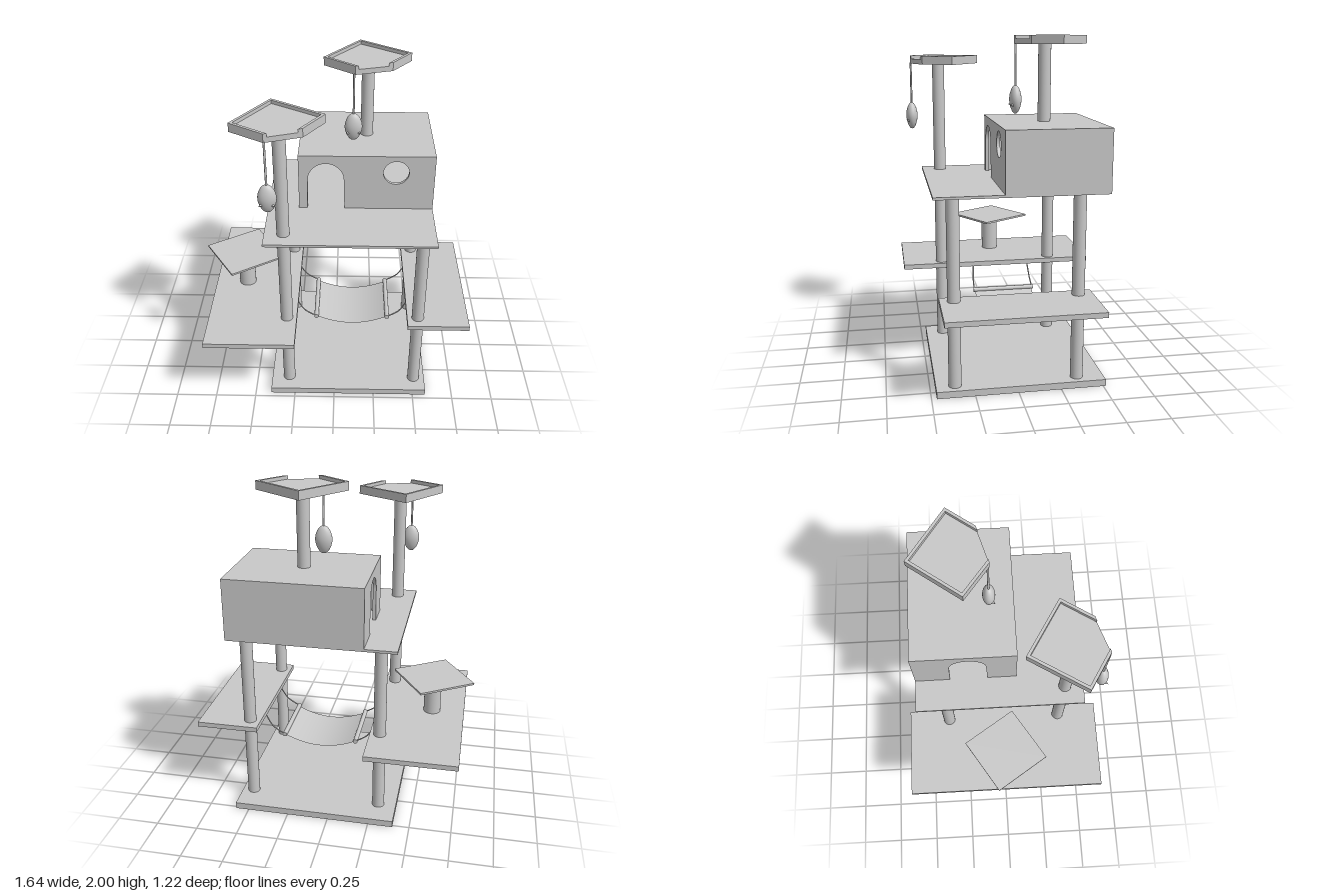
import * as THREE from 'three';

const plainGrey = new THREE.MeshStandardMaterial({ color: 0xc8c8c8 });
plainGrey.name = 'plainGrey';
const clothGrey = plainGrey.clone();
clothGrey.name = 'clothGrey';
clothGrey.side = THREE.DoubleSide;

export function createModel() {
  const model = new THREE.Group();
  model.name = 'catTree';

  const add = (name, geometry, parent = model, material = plainGrey) => {
    const mesh = new THREE.Mesh(geometry, material);
    mesh.name = name;
    parent.add(mesh);
    return mesh;
  };
  // Box given by its extents on each axis
  const box = (name, x0, x1, y0, y1, z0, z1, parent) => {
    const m = add(name, new THREE.BoxGeometry(x1 - x0, y1 - y0, z1 - z0), parent);
    m.position.set((x0 + x1) / 2, (y0 + y1) / 2, (z0 + z1) / 2);
    return m;
  };
  const post = (name, x, z, y0, y1, r = 0.037) => {
    const m = add(name, new THREE.CylinderGeometry(r, r, y1 - y0, 32));
    m.position.set(x, (y0 + y1) / 2, z);
    return m;
  };

  // Base, main platform and side shelves
  box('base', -0.4, 0.58, 0, 0.04, -0.515, 0.47);
  box('mainPlatform', -0.4, 0.58, 1.145, 1.16, -0.515, 0.47);
  box('wideShelf', -0.77, -0.23, 0.51, 0.54, -0.613, 0.608);
  box('narrowShelf', 0.445, 0.817, 0.52, 0.55, -0.443, 0.44);

  // Posts
  post('tallPost', -0.29, 0.36, 0.04, 1.83);
  post('frontPost', 0.51, 0.36, 0.04, 1.15);
  post('backPost', -0.29, -0.355, 0.04, 1.15);
  post('backPost', 0.51, -0.355, 0.04, 1.15);
  post('roofPost', 0.185, -0.215, 1.505, 1.955);
  post('stoolPost', -0.57, 0, 0.54, 0.772, 0.052);

  // Turned square seat on the wide shelf
  const stool = add('stoolSeat', new THREE.BoxGeometry(0.362, 0.012, 0.358));
  stool.position.set(-0.57, 0.774, 0);
  stool.rotation.y = 0.569;

  // Little house with arched doors and a round window
  const house = new THREE.Group();
  house.name = 'house';
  model.add(house);
  const T = 0.02, X0 = -0.215, X1 = 0.58, Z0 = -0.515, Z1 = 0.08, Y0 = 1.16, Y1 = 1.51;
  const archWall = (a, b, doorX) => {
    const s = new THREE.Shape();
    s.moveTo(a, 0);
    s.lineTo(doorX - 0.11, 0);
    s.lineTo(doorX - 0.105, 0.195);
    s.absarc(doorX, 0.195, 0.105, Math.PI, 0, true);
    s.lineTo(doorX + 0.11, 0);
    s.lineTo(b, 0);
    s.lineTo(b, Y1 - Y0);
    s.lineTo(a, Y1 - Y0);
    s.closePath();
    return s;
  };
  const extrude = (shape, depth) =>
    new THREE.ExtrudeGeometry(shape, { depth, bevelEnabled: false, curveSegments: 24 });

  const frontShape = archWall(X0, X1, -0.055);
  const windowHole = new THREE.Path();
  windowHole.absarc(0.355, 0.243, 0.075, 0, Math.PI * 2, true);
  frontShape.holes.push(windowHole);
  add('houseFront', extrude(frontShape, T), house).position.set(0, Y0, Z1 - T);

  const side = add('houseDoorSide', extrude(archWall(Z0 + T, Z1 - T, -0.2), T), house);
  side.rotation.y = -Math.PI / 2;
  side.position.set(X0 + T, Y0, 0);

  box('houseBack', X0, X1, Y0, Y1, Z0, Z0 + T, house);
  box('houseSide', X1 - T, X1, Y0, Y1, Z0 + T, Z1 - T, house);
  box('houseRoof', X0 + T, X1 - T, Y1 - T, Y1, Z0 + T, Z1 - T, house);

  // Five-sided perches: a floor with a rim on all but the front edge
  const perch = (points, bottom) => {
    const group = new THREE.Group();
    group.name = 'perch';
    model.add(group);
    const outer = points.map(([x, z]) => new THREE.Vector2(x, -z));
    const n = outer.length, rim = 0.016;
    const inner = outer.map((p, i) => {
      const u = outer[(i + n - 1) % n].clone().sub(p).normalize();
      const v = outer[(i + 1) % n].clone().sub(p).normalize();
      const k = rim / Math.abs(u.cross(v));
      const dir = i === 0 ? u : i === n - 1 ? v : u.add(v);
      return p.clone().addScaledVector(dir, k);
    });
    const slab = (name, pts, y, h) => {
      const m = add(name, extrude(new THREE.Shape(pts), h), group);
      m.rotation.x = -Math.PI / 2;
      m.position.y = y;
    };
    slab('perchFloor', outer, bottom, 0.03);
    slab('perchRim', [...outer, ...inner.reverse()], bottom + 0.03, 0.02);
  };
  perch([[0.32, -0.11], [0.435, -0.265], [0.14, -0.475], [-0.07, -0.19], [0.11, -0.05]], 1.95);
  perch([[-0.155, 0.465], [-0.045, 0.295], [-0.35, 0.105], [-0.54, 0.41], [-0.35, 0.53]], 1.825);

  // Hanging mouse toys, nose down
  const toy = (x, y, z, top) => {
    const group = new THREE.Group();
    group.name = 'hangingMouse';
    group.position.set(x, y, z);
    model.add(group);
    const profile = [[0, -0.083], [0.014, -0.08], [0.03, -0.064], [0.044, -0.036], [0.051, -0.003],
      [0.047, 0.03], [0.034, 0.06], [0.018, 0.077], [0, 0.083]];
    const curve = new THREE.SplineCurve(profile.map(p => new THREE.Vector2(...p)));
    const pts = curve.getPoints(24).map(p => p.setX(Math.max(0, p.x)));
    add('mouseBody', new THREE.LatheGeometry(pts, 28), group).scale.z = 0.7;
    const length = top - y - 0.075;
    const tail = add('mouseTail', new THREE.CylinderGeometry(0.006, 0.006, length, 10), group);
    tail.position.y = 0.075 + length / 2;
    for (const s of [-1, 1]) {
      const ear = add('mouseEar', new THREE.ConeGeometry(0.013, 0.03, 12), group);
      ear.position.set(s * 0.034, -0.03, 0.024);
      ear.rotation.set(Math.PI / 2, 0, -s * 0.7);
    }
  };
  toy(0.103, 1.63, -0.06, 1.955);
  toy(-0.347, 1.5, 0.527, 1.83);

  // Hammock: sagging cloth, two rods and four ropes
  const hammock = new THREE.Group();
  hammock.name = 'hammock';
  model.add(hammock);
  const midX = 0.108, half = 0.227, midZ = -0.025;
  const cloth = new THREE.PlaneGeometry(half * 2, 0.37, 28, 1).rotateX(-Math.PI / 2);
  const pos = cloth.attributes.position;
  for (let i = 0; i < pos.count; i++) pos.setY(i, 0.326 + 0.057 * (pos.getX(i) / half) ** 2);
  cloth.computeVertexNormals();
  add('hammockCloth', cloth, hammock, clothGrey).position.set(midX, 0, midZ);

  for (const s of [-1, 1]) {
    const rodX = midX + s * half;
    const rod = add('hammockRod', new THREE.CylinderGeometry(0.014, 0.014, 0.39, 16), hammock);
    rod.rotation.x = Math.PI / 2;
    rod.position.set(rodX, 0.386, midZ);
    for (const t of [-1, 1]) {
      const rope = new THREE.CatmullRomCurve3([
        new THREE.Vector3(rodX, 0.386, midZ + t * 0.19),
        new THREE.Vector3(rodX + s * 0.075, 0.436, midZ + t * 0.187),
        new THREE.Vector3(rodX + s * 0.127, 0.52, midZ + t * 0.18),
      ]);
      add('hammockRope', new THREE.TubeGeometry(rope, 16, 0.004, 8), hammock);
    }
  }

  return model;
}
